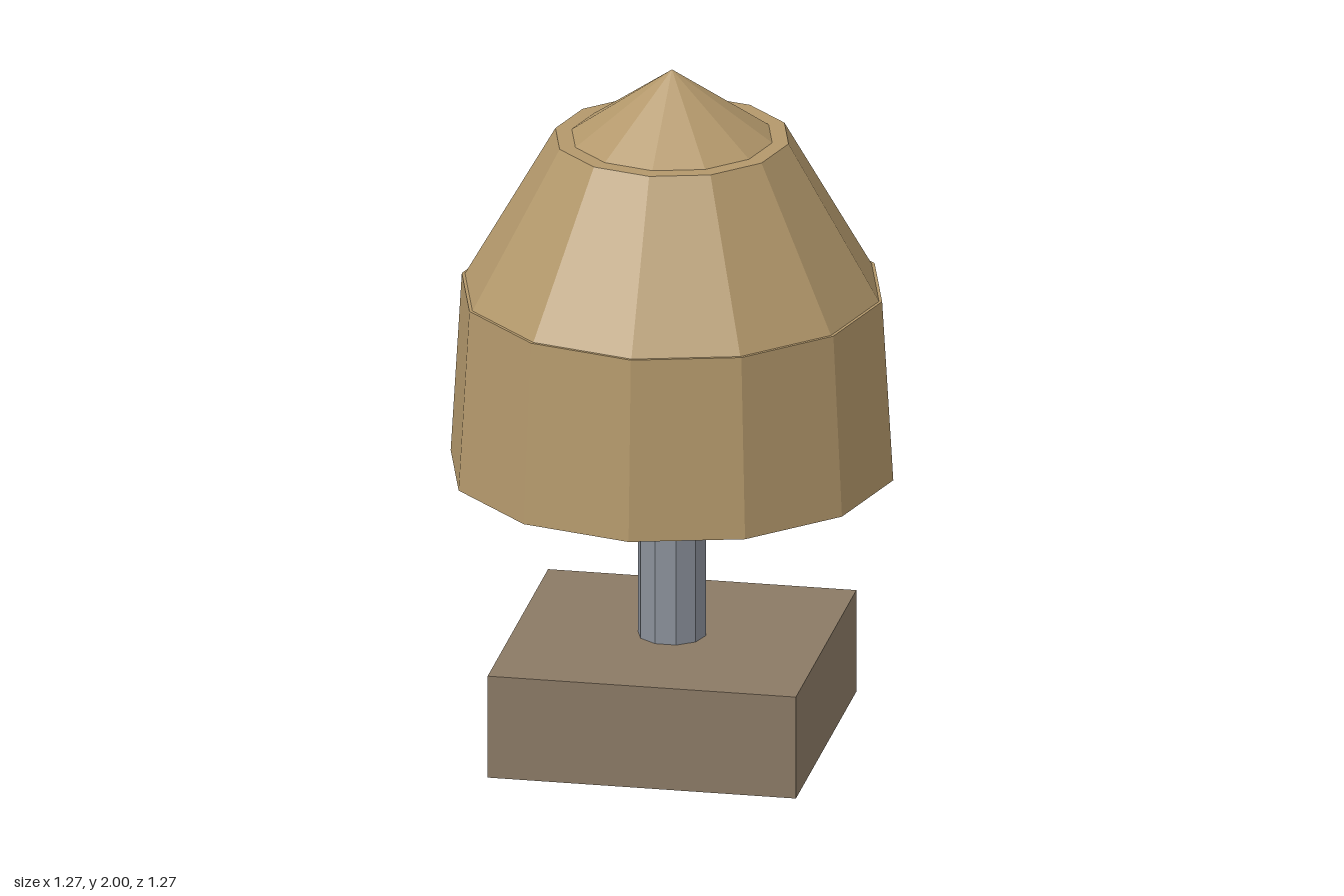
import * as THREE from 'three';

export function createModel() {
  const group = new THREE.Group();
  const paint = (name, hex) => {
    const m = new THREE.MeshStandardMaterial({ color: hex, flatShading: true });
    m.name = name;
    return m;
  };
  const tan = paint('tan', 0xb3986b);
  const stone = paint('brown stone', 0x8b7a65);
  const steel = paint('grey steel', 0x8a909a);

  const add = (name, geometry, material, y) => {
    const mesh = new THREE.Mesh(geometry, material);
    mesh.name = name;
    mesh.position.y = y;
    group.add(mesh);
    return mesh;
  };
  // Closed tapered drum between two heights
  const drum = (name, rTop, rBottom, y0, y1, sides, material) =>
    add(name, new THREE.CylinderGeometry(rTop, rBottom, y1 - y0, sides), material, (y0 + y1) / 2);

  // Square plinth
  add('base', new THREE.BoxGeometry(0.886, 0.305, 0.886), stone, 0.1525);

  // Ten-sided post, corners on the x axis
  drum('post', 0.098, 0.098, 0.3, 0.82, 10, steel).rotation.y = Math.PI / 2;

  // Three stacked twelve-sided tiers, each stepping in a little
  drum('lowerTier', 0.604, 0.636, 0.81, 1.345, 12, tan);
  drum('middleTier', 0.335, 0.595, 1.345, 1.8, 12, tan);
  add('pointedCap', new THREE.ConeGeometry(0.288, 0.2, 12), tan, 1.9);

  return group;
}
